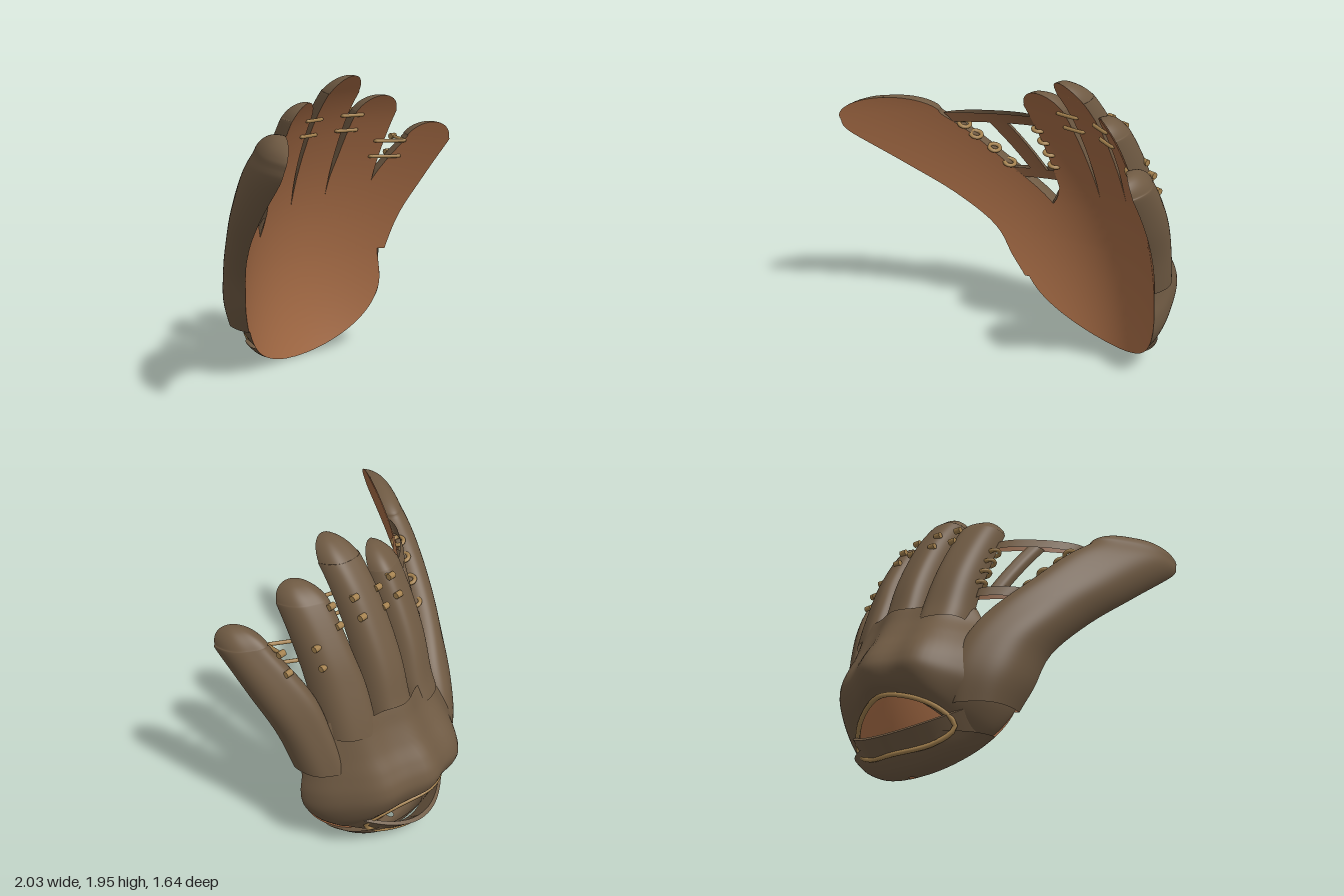
import * as THREE from 'three';
import { toCreasedNormals } from 'three/addons/utils/BufferGeometryUtils.js';

const mat = (color) => new THREE.MeshStandardMaterial({ color, side: THREE.DoubleSide });
const V = (x, y, z) => new THREE.Vector3(x, y, z);

// The whole inner face lies on one shallow bowl, curling a little more at the fingertips
const bowl = (x, y) =>
  -0.455 + 0.24 * (y - 0.5) ** 2 + 0.7 * (x - 0.2) ** 2 + 0.4 * Math.max(0, y - 1.6) ** 2;
// Point at depth t behind the bowl, leaning a little along its normal
const behind = (x, y, t) =>
  V(x + 0.35 * (x - 0.2) * t, y + 0.12 * (y - 0.5) * t, bowl(x, y) - t);

// Smooth sheet from a point function p(u, v)
function sheet(nu, nv, p, flip = false) {
  const pos = [], idx = [];
  for (let j = 0; j <= nv; j++)
    for (let i = 0; i <= nu; i++) pos.push(...p(i / nu, j / nv).toArray());
  for (let j = 0; j < nv; j++)
    for (let i = 0; i < nu; i++) {
      const a = j * (nu + 1) + i, b = a + 1, c = a + nu + 1, d = c + 1;
      if (flip) idx.push(a, d, b, a, c, d);
      else idx.push(a, b, d, a, d, c);
    }
  const g = new THREE.BufferGeometry();
  g.setAttribute('position', new THREE.Float32BufferAttribute(pos, 3));
  g.setIndex(idx);
  g.computeVertexNormals();
  return g;
}

// Rows are [leftX, leftY, rightX, rightY, thickness, arch]
function rowsToPoint(rows) {
  const L = new THREE.CatmullRomCurve3(rows.map((r) => V(r[0], r[1], r[4])), false, 'catmullrom', 0.5);
  const R = new THREE.CatmullRomCurve3(rows.map((r) => V(r[2], r[3], r[5] || 0)), false, 'catmullrom', 0.5);
  return (u, v) => {
    const s = Math.sin((u - 0.5) * Math.PI), a = L.getPoint(v), b = R.getPoint(v), k = (s + 1) / 2;
    return {
      s, x: a.x + (b.x - a.x) * k, T: Math.max(a.z, 0),
      y: a.y + (b.y - a.y) * k + b.z * (1 - s * s),
    };
  };
}

// Round off the end of a finger beyond its last row
function roundTip(rows, h) {
  const [lx, ly, rx, ry, T] = rows[rows.length - 1];
  const mx = (lx + rx) / 2, my = (ly + ry) / 2, w = Math.hypot(rx - lx, ry - ly);
  const ax = -(ry - ly) / w, ay = (rx - lx) / w;
  const tip = [18, 36, 54, 70, 82, 89].map((deg) => {
    const c = Math.cos(deg * Math.PI / 180), s = h * Math.sin(deg * Math.PI / 180);
    const dx = (rx - lx) / 2 * c, dy = (ry - ly) / 2 * c, ox = mx + ax * s, oy = my + ay * s;
    return [ox - dx, oy - dy, ox + dx, oy + dy, T * c ** 0.8];
  });
  return [...rows, ...tip];
}

export function createModel() {
  const glove = new THREE.Group();
  glove.name = 'baseballGlove';
  const inner = mat(0xa56b45), outer = mat(0x6f5a43), cord = mat(0xa5824f), web = mat(0x80573a);

  const add = (name, geo, material, parent = glove) => {
    const m = new THREE.Mesh(geo, material);
    m.name = name;
    parent.add(m);
    return m;
  };
  const front = (name, rows, n, material, parent) => {
    const at = rowsToPoint(rows);
    add(name, sheet(24, n, (u, v) => { const q = at(u, v); return V(q.x, q.y, bowl(q.x, q.y)); }), material, parent);
  };
  const back = (name, rows, n, parent, power = 3.4, round = 0.55, ridge = 0) => {
    const at = rowsToPoint(rows);
    add(name, sheet(56, n, (u, v) => {
      const q = at(u, v);
      const bump = 1 + ridge * (0.5 + v) * Math.cos((q.x - 0.25) / 0.29 * 2 * Math.PI);
      const t = q.T * Math.max(0, 1 - Math.abs(q.s) ** power) ** round * bump;
      return behind(q.x, q.y, t);
    }, true), outer, parent);
  };
  const padded = (name, rows, n = 48, f = inner) => {
    const g = new THREE.Group();
    g.name = name;
    glove.add(g);
    front(name + 'Front', rows, n, f, g);
    back(name + 'Back', rows, n, g);
  };
  const tube = (name, pts, r, closed = false, tension = 0.5) =>
    add(name, new THREE.TubeGeometry(
      new THREE.CatmullRomCurve3(pts, closed, 'catmullrom', tension), 48, r, 8, closed), cord);

  // Palm lining, with a rounded heel
  const heel = [88, 78, 66, 52, 38, 24, 10, 0].map((deg) => {
    const a = deg * Math.PI / 180, y = 0.5 - 0.5 * Math.sin(a), w = 0.61 * Math.cos(a);
    return [Math.max(0.19 - w, -0.42), y, 0.19 + w, y, 0];
  });
  front('palm', [...heel, [-0.42, 0.62, 0.79, 0.62, 0], [-0.4, 0.7, 0.78, 0.7, 0],
    [-0.22, 0.93, 0.78, 0.93, 0], [-0.17, 1.05, 0.78, 1.05, 0]], 66, inner);

  // Ridged back of the hand, arched open above the wrist
  back('handBack', [
    [-0.21, 0.14, 0.59, 0.14, 0.24, 0.29], [-0.32, 0.24, 0.7, 0.24, 0.3, 0.24],
    [-0.4, 0.37, 0.78, 0.37, 0.335, 0.19], [-0.42, 0.5, 0.8, 0.5, 0.325, 0.13],
    [-0.42, 0.63, 0.79, 0.63, 0.285, 0.08], [-0.38, 0.76, 0.79, 0.76, 0.225, 0.05],
    [-0.25, 0.9, 0.8, 0.9, 0.18, 0.02], [-0.18, 1.03, 0.82, 1.03, 0.16],
  ], 48, glove, 2.2, 0.65, 0.06);

  // Heel pad below the wrist opening
  back('heelPad', heel.slice(0, 5).map((r, i) => [r[0], r[1], r[2], r[3], [0.04, 0.07, 0.11, 0.15, 0.18][i]]),
    20, glove, 4, 0.5);

  // Fingers and thumb
  padded('indexFinger', roundTip([[-0.17, 0.92, 0.12, 0.92, 0.17], [-0.17, 1.05, 0.12, 1.05, 0.15],
    [-0.185, 1.3, 0.09, 1.3, 0.15], [-0.2, 1.64, 0.06, 1.64, 0.13]], 0.15));
  padded('middleFinger', roundTip([[0.12, 0.92, 0.4, 0.92, 0.18], [0.12, 1.05, 0.4, 1.05, 0.155],
    [0.115, 1.3, 0.39, 1.3, 0.155], [0.11, 1.78, 0.37, 1.78, 0.13]], 0.165));
  padded('ringFinger', roundTip([[0.4, 0.92, 0.68, 0.92, 0.17], [0.4, 1.2, 0.68, 1.2, 0.155],
    [0.42, 1.4, 0.68, 1.4, 0.15], [0.43, 1.66, 0.68, 1.66, 0.13]], 0.14));
  padded('littleFinger', roundTip([[0.6, 0.69, 0.82, 0.7, 0.14], [0.64, 0.95, 0.87, 0.95, 0.145],
    [0.68, 1.2, 0.94, 1.2, 0.15], [0.79, 1.48, 1.0, 1.46, 0.13]], 0.14));
  padded('thumb', roundTip([[-0.41, 0.34, -0.1, 0.34, 0.2], [-0.48, 0.5, -0.1, 0.55, 0.22],
    [-0.55, 0.72, -0.16, 0.76, 0.2], [-0.7, 0.97, -0.24, 0.94, 0.17],
    [-0.85, 1.2, -0.42, 1.2, 0.16], [-0.99, 1.46, -0.55, 1.44, 0.15], [-1.0, 1.57, -0.63, 1.57, 0.13]], 0.14), 60);

  // Open webbing between thumb and index finger
  padded('webTopBand', [[-0.6, 1.52, -0.18, 1.52, 0.05], [-0.62, 1.59, -0.18, 1.59, 0.05]], 4, web);
  padded('webLowerBand', [[-0.37, 1.11, -0.16, 1.11, 0.05], [-0.42, 1.18, -0.16, 1.18, 0.05]], 4, web);
  padded('webCrossStrip', [[-0.31, 1.17, -0.22, 1.17, 0.04], [-0.44, 1.53, -0.35, 1.53, 0.04]], 8, web);

  // Lacing loops along both sides of the web
  const loop = (name, x, y, tilt) => {
    const m = add(name, new THREE.TorusGeometry(0.034, 0.013, 8, 24), cord);
    m.rotation.set(Math.PI / 2, 0, tilt, 'ZYX');
    m.scale.y = 1.1;
    m.position.set(x, y, bowl(x, y) - 0.025);
  };
  [[-0.57, 1.5], [-0.54, 1.42], [-0.48, 1.32], [-0.43, 1.21]].forEach(([x, y]) => loop('thumbLace', x, y, -0.4));
  [1.49, 1.4, 1.31, 1.22].forEach((y, i) => loop('indexLace', -0.2 + i * 0.007, y, -0.2));

  // Ties joining neighbouring fingers, knotted at the back
  for (const [x0, x1, ys] of [[0.02, 0.16, [1.66, 1.555]], [0.335, 0.48, [1.67, 1.565]], [0.63, 0.79, [1.48, 1.37]]])
    for (const y of ys) {
      const ends = [x0, x1].map((x) => behind(x, y, 0.13));
      tube('fingerTie', [ends[0], V(x0, y, bowl(x0, y) + 0.01), V(x1, y, bowl(x1, y) + 0.01), ends[1]], 0.012, false, 0.05);
      for (const e of ends) {
        const knot = add('tieKnot', new THREE.CylinderGeometry(0.02, 0.02, 0.045, 10), cord);
        knot.position.copy(e);
        knot.rotation.z = Math.PI / 2;
      }
    }

  // Wrist strap bowed across the opening
  const corners = [[-0.7, 0.17, -0.45, 0.33], [-0.6, 0.08, -0.33, 0.2], [-0.58, 0.1, -0.31, 0.22], [-0.68, 0.19, -0.43, 0.35]];
  const strap = sheet(32, 4, (u, v) => {
    const s = u * 2 - 1, k = s * s, c = corners[Math.round(v * 4) % 4];
    return V(0.19 + 0.45 * s, c[1] + (c[3] - c[1]) * k, c[0] + (c[2] - c[0]) * k);
  });
  add('wristStrap', toCreasedNormals(strap, 0.6), outer);

  // Cord binding around the wrist opening
  tube('wristCord', [V(0.18, 0.41, -0.72), V(0.42, 0.35, -0.62), V(0.54, 0.22, -0.5), V(0.42, 0.12, -0.54),
    V(0.18, 0.085, -0.61), V(-0.06, 0.12, -0.54), V(-0.18, 0.22, -0.5), V(-0.06, 0.35, -0.62)], 0.015, true);

  return glove;
}
